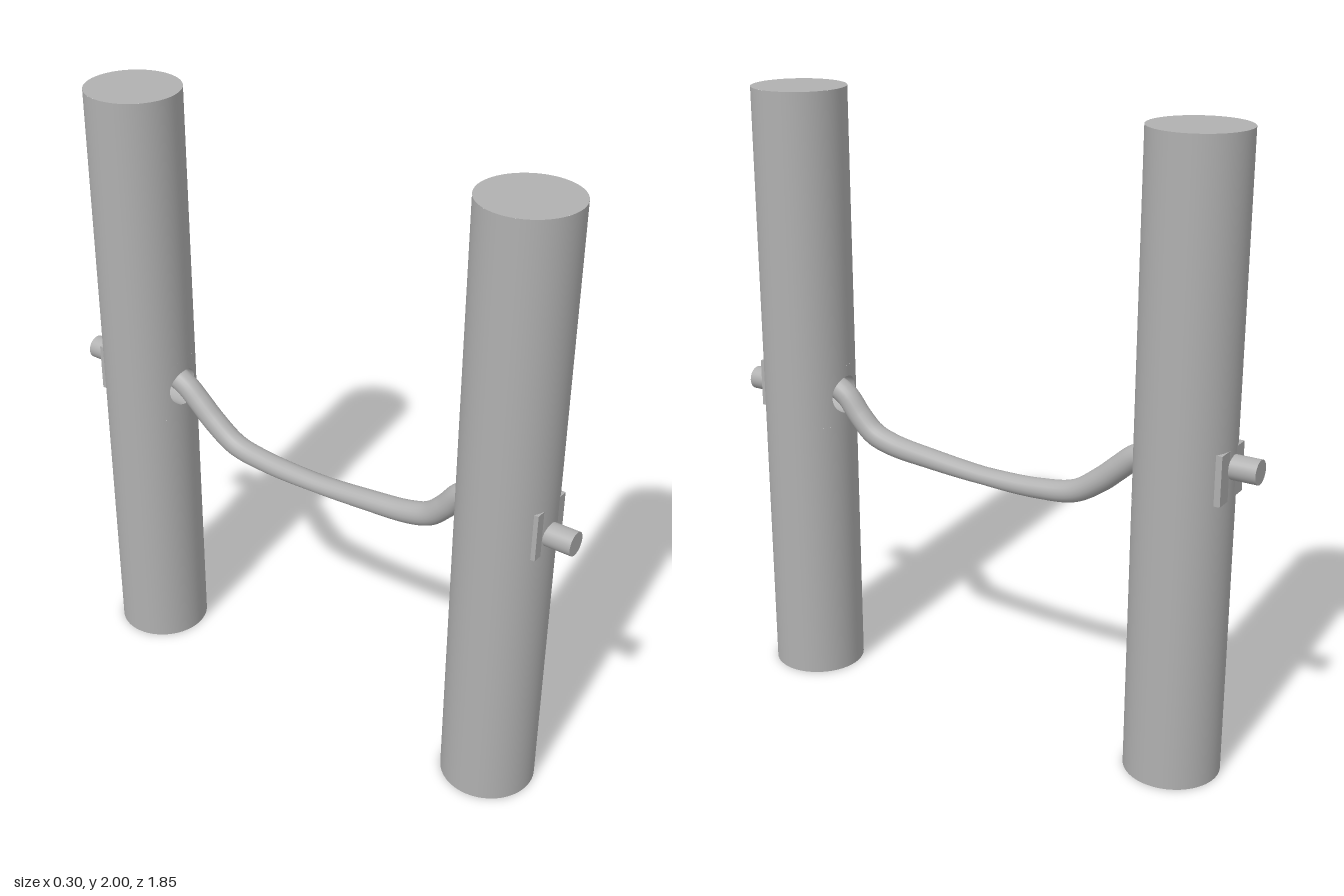
import * as THREE from 'three';
import { mergeGeometries } from 'three/addons/utils/BufferGeometryUtils.js';
import { ParametricGeometry } from 'three/addons/geometries/ParametricGeometry.js';

const R = 0.152, H = 2, POST_Z = 0.691; // post radius, height, distance from the middle
const HOLE = 0.062, PATCH = 0.1;        // hole radius, half size of the wall patch around it

// Post standing on y = 0 with a blind round hole at mid height, facing +z
function postGeometry() {
  const w = Math.asin(PATCH / R);
  const strip = H / 2 - PATCH;
  const main = new THREE.CylinderGeometry(R, R, H, 52, 1, true, w, Math.PI * 2 - 2 * w).translate(0, H / 2, 0);
  const lower = new THREE.CylinderGeometry(R, R, strip, 16, 1, true, -w, 2 * w).translate(0, strip / 2, 0);
  const upper = lower.clone().translate(0, H / 2 + PATCH, 0);
  const surfaceZ = x => Math.sqrt(R * R - x * x);

  // wall between the round hole and the square cut-out
  const patch = new ParametricGeometry((u, v, p) => {
    const a = -u * Math.PI * 2, c = Math.cos(a), s = Math.sin(a);
    const d = THREE.MathUtils.lerp(HOLE, PATCH / Math.max(Math.abs(c), Math.abs(s)), v);
    p.set(c * d, H / 2 + s * d, surfaceZ(c * d));
  }, 64, 5);

  // inside wall of the hole and its floor
  const bore = new ParametricGeometry((u, v, p) => {
    const a = u * Math.PI * 2, x = HOLE * Math.cos(a);
    p.set(x, H / 2 + HOLE * Math.sin(a), surfaceZ(x) * (1 - v));
  }, 64, 1);
  const floor = new THREE.CircleGeometry(HOLE, 64).translate(0, H / 2, 0);

  const top = new THREE.CircleGeometry(R, 64).rotateX(-Math.PI / 2).translate(0, H, 0);
  const bottom = new THREE.CircleGeometry(R, 64).rotateX(Math.PI / 2);
  return mergeGeometries([main, lower, upper, patch, bore, floor, top, bottom]);
}

// Sagging rope, flattened in the middle and round at the ends
function ropeGeometry() {
  const points = [
    [0.65, 1.02], [0.59, 1.025], [0.535, 1.0], [0.48, 0.935], [0.425, 0.885], [0.35, 0.86],
    [0.2, 0.842], [0, 0.827], [-0.2, 0.828], [-0.33, 0.848], [-0.42, 0.905],
    [-0.48, 0.957], [-0.535, 1.003], [-0.59, 1.025], [-0.65, 1.02],
  ].map(([z, y]) => new THREE.Vector3(0.006, y, z));
  const path = new THREE.CatmullRomCurve3(points);
  const rings = 90, sides = 20;
  const geometry = new THREE.TubeGeometry(path, rings, 0.038, sides);
  const pos = geometry.attributes.position;
  const c = new THREE.Vector3();
  for (let i = 0; i < pos.count; i++) {
    path.getPointAt(Math.floor(i / (sides + 1)) / rings, c);
    const f = THREE.MathUtils.lerp(0.7, 1, Math.min(1, Math.abs(c.z) / 0.42));
    pos.setY(i, c.y + (pos.getY(i) - c.y) * f);
    pos.setZ(i, c.z + (pos.getZ(i) - c.z) * f);
  }
  return geometry;
}

export function createModel() {
  const group = new THREE.Group();
  const grey = new THREE.MeshStandardMaterial({ color: 0xb0b0b0 });
  grey.name = 'grey';
  const add = (name, geometry, x = 0, y = 0, z = 0) => {
    const mesh = new THREE.Mesh(geometry, grey);
    mesh.name = name;
    mesh.position.set(x, y, z);
    group.add(mesh);
    return mesh;
  };

  const post = postGeometry();
  const plate = new THREE.BoxGeometry(0.156, 0.156, 0.03);
  const bolt = new THREE.CylinderGeometry(0.038, 0.038, 0.16, 32).rotateX(Math.PI / 2);

  // each end: post with its hole turned inwards, outer plate and bolt
  const ends = [
    { side: 'front', s: 1, plateZ: 0.836, boltY: 0.99 },
    { side: 'back', s: -1, plateZ: 0.841, boltY: 1.03 },
  ];
  for (const { side, s, plateZ, boltY } of ends) {
    add(side + 'Post', post, 0, 0, s * POST_Z).rotation.y = s > 0 ? Math.PI : 0;
    add(side + 'Plate', plate, 0, 1.01, s * (plateZ - 0.015));
    add(side + 'Bolt', bolt, -0.006, boltY, s * 0.845);
  }

  add('rope', ropeGeometry());
  return group;
}
